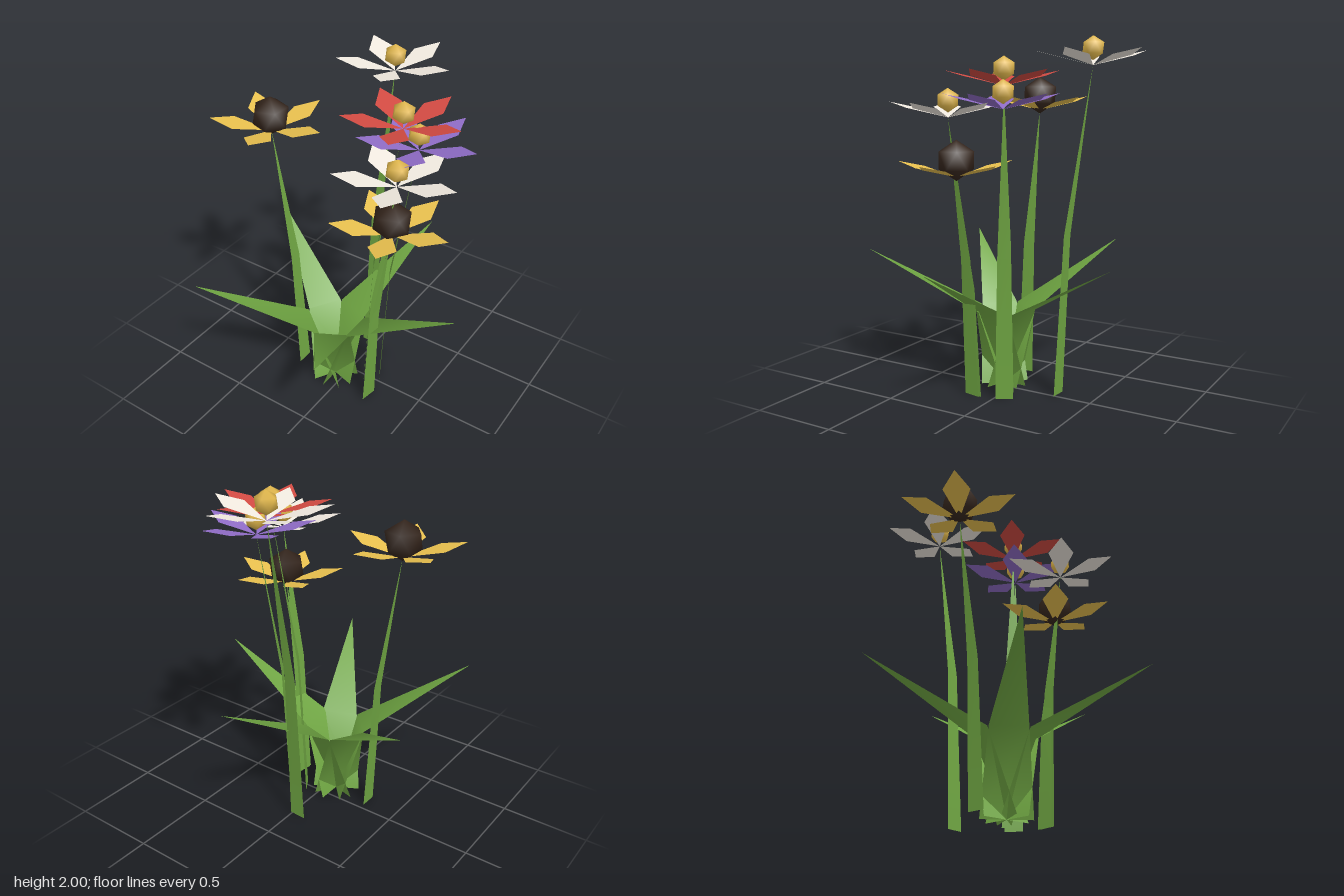
import * as THREE from 'three';
import { mergeVertices } from 'three/addons/utils/BufferGeometryUtils.js';

const CLUMP = new THREE.Vector2(-0.06, 0.085); // x, z of the plant's middle
const PETAL_COUNT = 5;

const paint = (color, side = THREE.DoubleSide) => {
  const m = new THREE.MeshStandardMaterial({ side });
  m.color.set(color);
  return m;
};

// Flat pointed blade leaning along (dx, dz); rows are [radius, height, half width], then the tip
function bladeGeometry(dx, dz, rows, [tipR, tipY]) {
  const pos = [];
  const index = [];
  for (const [r, y, w] of rows) {
    for (const s of [-1, 1]) {
      pos.push(CLUMP.x + dx * r - s * dz * w, y, CLUMP.y + dz * r + s * dx * w);
    }
  }
  pos.push(CLUMP.x + dx * tipR, tipY, CLUMP.y + dz * tipR);
  for (let i = 0; i < rows.length - 1; i++) {
    const a = 2 * i;
    index.push(a, a + 2, a + 1, a + 1, a + 2, a + 3);
  }
  const n = 2 * rows.length;
  index.push(n - 2, n, n - 1);
  const g = new THREE.BufferGeometry();
  g.setAttribute('position', new THREE.Float32BufferAttribute(pos, 3));
  g.setIndex(index);
  g.computeVertexNormals();
  return g;
}

// Kite-shaped petal along +x, rising towards its tip
function petalGeometry() {
  const kite = new THREE.Shape();
  kite.moveTo(0, 0);
  kite.lineTo(0.21, -0.075);
  kite.lineTo(0.338, 0);
  kite.lineTo(0.21, 0.075);
  kite.closePath();
  return new THREE.ShapeGeometry(kite).rotateX(-Math.PI / 2).rotateZ(Math.atan(0.25));
}

// Smooth-shaded icosahedron standing on one corner
function heartGeometry(radius) {
  let g = new THREE.IcosahedronGeometry(radius, 0);
  g.deleteAttribute('normal');
  g.deleteAttribute('uv');
  g = mergeVertices(g, 1e-4);
  g.rotateZ(Math.atan(2 / (1 + Math.sqrt(5))));
  g.computeVertexNormals();
  return g;
}

export function createModel() {
  const model = new THREE.Group();
  model.name = 'flowerClump';

  const green = paint(0x6fa542);
  const gold = paint(0xe2b84c, THREE.FrontSide);
  const brown = paint(0x33241b, THREE.FrontSide);
  const white = paint(0xf0e9df);
  const yellow = paint(0xe8c04e);
  const red = paint(0xd14a42);
  const purple = paint(0x8f6cc6);

  const add = (parent, name, geometry, material) => {
    const mesh = new THREE.Mesh(geometry, material);
    mesh.name = name;
    parent.add(mesh);
    return mesh;
  };

  // Five bent leaves fanning out from the middle
  const leaves = new THREE.Group();
  leaves.name = 'leaves';
  for (let i = 0; i < 5; i++) {
    const a = i * 1.3;
    const rows = [[0, 0, 0.14], [0.145, 0.45, 0.105]];
    add(leaves, 'leaf', bladeGeometry(Math.cos(a), -Math.sin(a), rows, [0.795, 0.8]), green);
  }
  model.add(leaves);

  // Flowers: x, height of the petal base, z, petals, heart
  const petal = petalGeometry();
  const smallHeart = heartGeometry(0.064);
  const bigHeart = heartGeometry(0.111);
  const flowers = [
    [-0.03, 1.846, -0.475, white, gold],
    [0.253, 1.74, -0.1, red, gold],
    [0.328, 1.62, -0.14, purple, gold],
    [0.383, 1.575, 0.165, white, gold],
    [0.347, 1.257, 0.14, yellow, brown],
    [-0.467, 1.595, 0.08, yellow, brown],
  ];
  for (const [x, y, z, petalPaint, heartPaint] of flowers) {
    const flower = new THREE.Group();
    flower.name = 'flower';

    // Stem curving outwards from the ground to the head
    const out = new THREE.Vector2(x, z).sub(CLUMP);
    const r = out.length();
    out.normalize();
    const lean = 0.105 * y;
    const rows = [[r - lean, 0, 0.05], [r - lean * 0.75, y / 2, 0.036]];
    add(flower, 'stem', bladeGeometry(out.x, out.y, rows, [r, y]), green);

    // Head with its ring of petals and round heart
    const head = new THREE.Group();
    head.name = 'flowerHead';
    head.position.set(x, y, z);
    for (let i = 0; i < PETAL_COUNT; i++) {
      add(head, 'petal', petal, petalPaint).rotation.y = (i / PETAL_COUNT) * Math.PI * 2;
    }
    const heart = heartPaint === brown ? bigHeart : smallHeart;
    add(head, 'flowerHeart', heart, heartPaint).position.y = 0.09;
    flower.add(head);
    model.add(flower);
  }

  return model;
}
